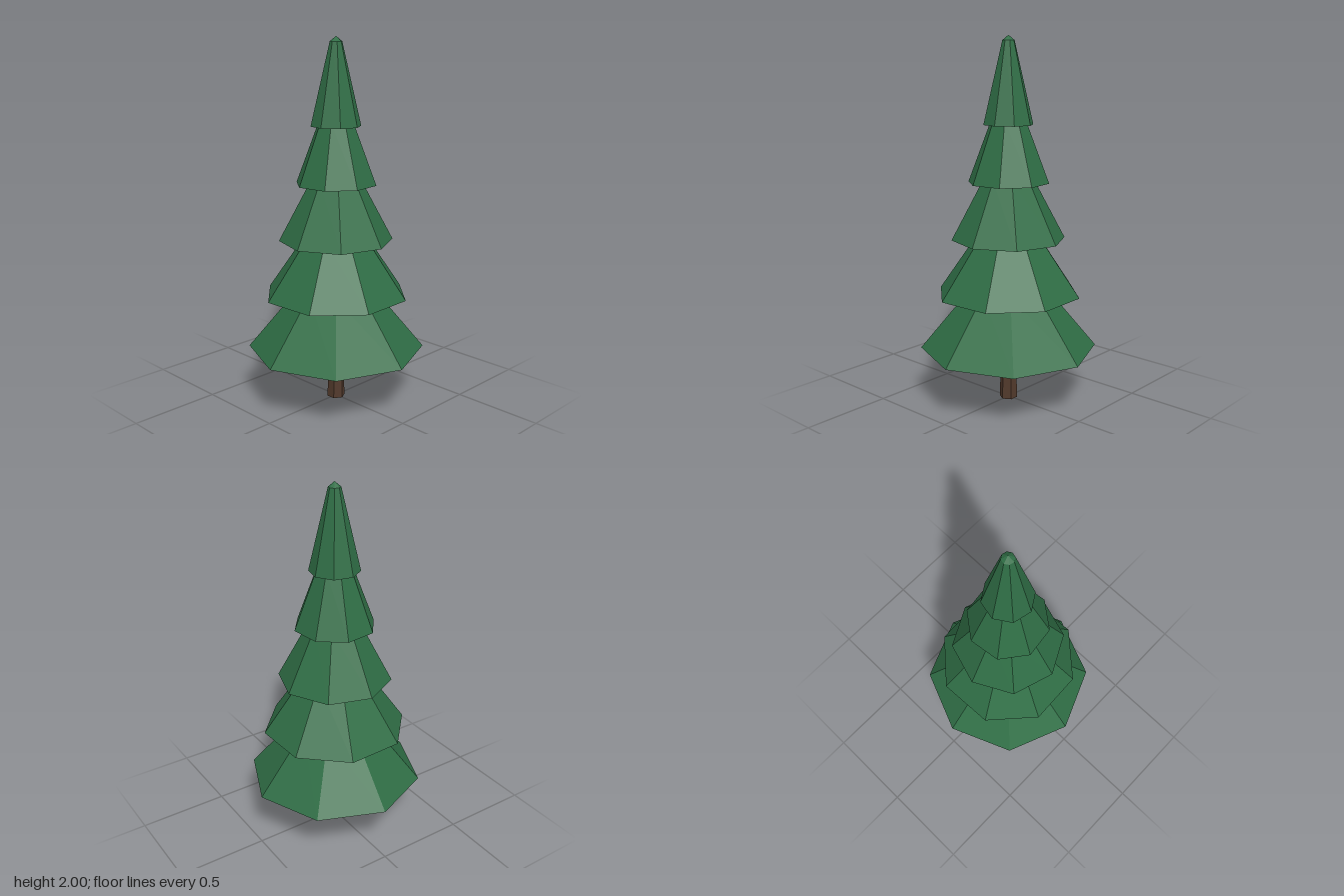
import * as THREE from 'three';

const SIDES = 8;
const TWIST = 0.35; // each tier is turned a little against the one below

// Tier: base height, base radius, top height, top radius, height of the tip
const TIERS = [
  [0.30, 0.487, 0.64, 0.205, 0.64],
  [0.61, 0.400, 0.95, 0.164, 0.95],
  [0.915, 0.311, 1.25, 0.133, 1.25],
  [1.225, 0.222, 1.56, 0.094, 1.56],
  [1.535, 0.136, 1.973, 0.033, 2.0],
];

export function createModel() {
  const foliage = new THREE.MeshStandardMaterial({ color: 0x2f6d45, flatShading: true });
  foliage.name = 'foliage green';
  const bark = new THREE.MeshStandardMaterial({ color: 0x523a2c, flatShading: true });
  bark.name = 'bark brown';

  const tree = new THREE.Group();
  tree.name = 'pineTree';

  // Six-sided, slightly tapering trunk
  const trunk = new THREE.Mesh(new THREE.CylinderGeometry(0.041, 0.05, 0.31, 6), bark);
  trunk.name = 'trunk';
  trunk.position.y = 0.155;
  tree.add(trunk);

  // Stacked, closed foliage tiers; the last one ends in a blunt tip
  TIERS.forEach(([y0, r0, y1, r1, tip], i) => {
    const profile = [[0, y0], [r0, y0], [r1, y1], [0, tip]].map(([x, y]) => new THREE.Vector2(x, y));
    const tier = new THREE.Mesh(new THREE.LatheGeometry(profile, SIDES), foliage);
    tier.name = `foliageTier${i + 1}`;
    tier.rotation.y = -i * TWIST;
    tree.add(tier);
  });

  return tree;
}
